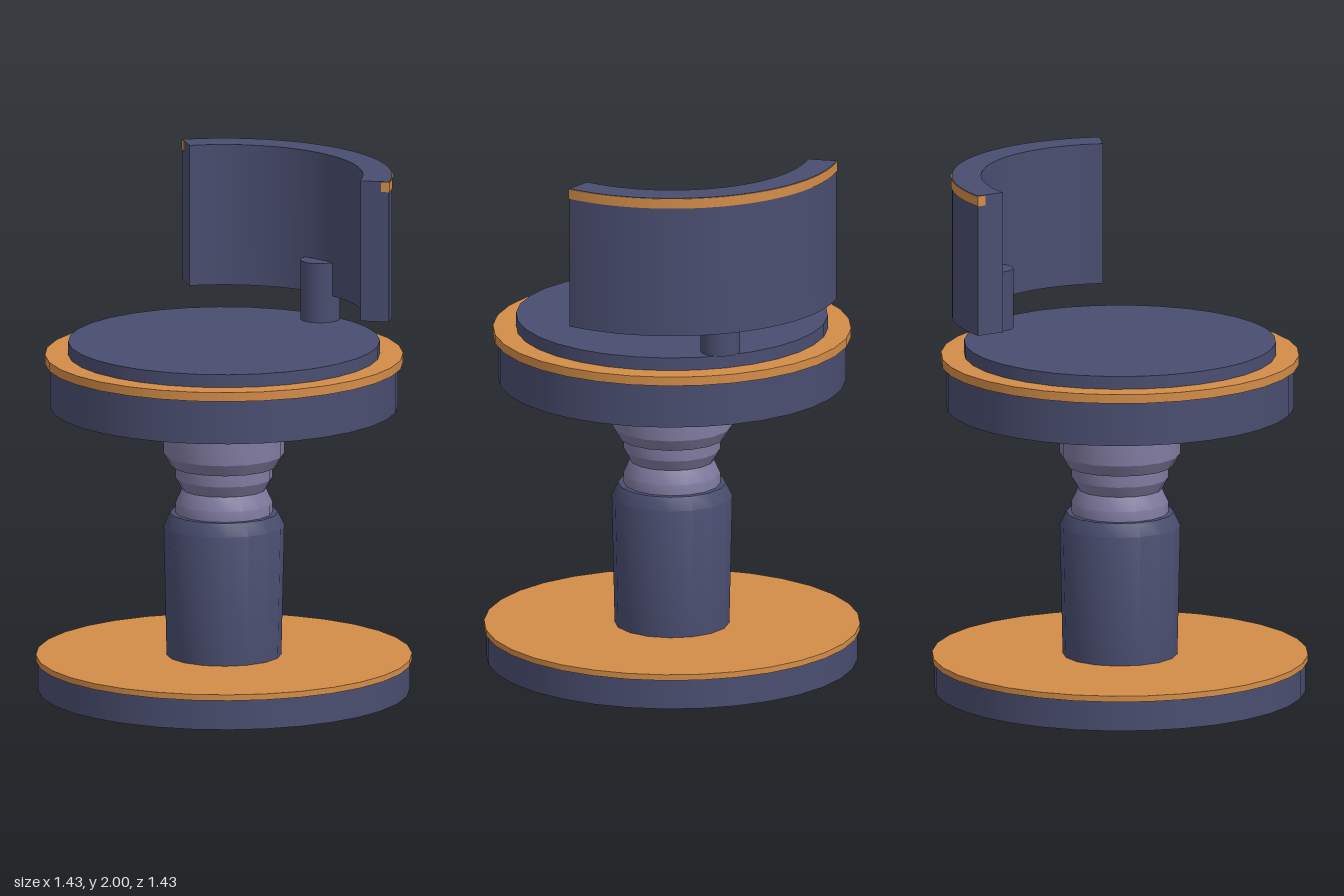
import * as THREE from 'three';
import { toCreasedNormals } from 'three/addons/utils/BufferGeometryUtils.js';

export function createModel() {
  const group = new THREE.Group();
  const mat = (name, color) => {
    const m = new THREE.MeshStandardMaterial({ color });
    m.name = name;
    return m;
  };
  const navy = mat('navy', 0x4a4e70);
  const orange = mat('orange', 0xd48d48);
  const lilac = mat('lilac', 0x807ba0);

  const add = (name, geometry, material) => {
    const mesh = new THREE.Mesh(geometry, material);
    mesh.name = name;
    group.add(mesh);
    return mesh;
  };

  // Upright disc between two heights
  const disc = (name, r, y0, y1, material, sides = 32) => {
    const mesh = add(name, new THREE.CylinderGeometry(r, r, y1 - y0, sides), material);
    mesh.position.y = (y0 + y1) / 2;
    return mesh;
  };

  // Turned part from a profile of [radius, height], closed at both ends
  const turned = (name, profile, material) => {
    const points = profile.map(([r, y]) => new THREE.Vector2(r, y));
    points.unshift(new THREE.Vector2(0, profile[0][1]));
    points.push(new THREE.Vector2(0, profile[profile.length - 1][1]));
    return add(name, toCreasedNormals(new THREE.LatheGeometry(points, 16), 0.5), material);
  };

  // Curved slab around the back of the seat
  const arcSlab = (name, inner, outer, start, y0, y1, material) => {
    const shape = new THREE.Shape();
    shape.absarc(0, 0, outer, start, Math.PI - start, false);
    shape.absarc(0, 0, inner, Math.PI - start, start, true);
    const geo = new THREE.ExtrudeGeometry(shape, { depth: y1 - y0, bevelEnabled: false, curveSegments: 24 });
    geo.rotateX(-Math.PI / 2);
    geo.translate(0, y0, 0);
    return add(name, toCreasedNormals(geo, 0.5), material);
  };

  // Base
  disc('base', 0.705, 0, 0.115, navy);
  disc('baseTrim', 0.714, 0.115, 0.138, orange);

  // Pedestal and its turned neck
  turned('pedestal', [[0.218, 0.138], [0.229, 0.64], [0.205, 0.69]], navy);
  turned('neck', [[0.184, 0.685], [0.184, 0.73], [0.16, 0.782], [0.184, 0.825], [0.184, 0.873]], lilac);
  turned('collar', [[0.202, 0.873], [0.229, 0.918], [0.229, 1.06]], lilac);

  // Seat
  disc('seat', 0.66, 1.1, 1.27, navy);
  disc('seatTrim', 0.68, 1.27, 1.305, orange);
  disc('cushion', 0.592, 1.305, 1.355, navy);

  // Backrest on its post
  disc('backrestPost', 0.075, 1.355, 1.585, navy, 16).position.z = -0.53;
  const start = 0.562;
  arcSlab('backrest', 0.527, 0.638, start, 1.455, 2, navy);
  arcSlab('backrestTrim', 0.607, 0.641, start - 0.003, 1.96, 1.998, orange);

  return group;
}
